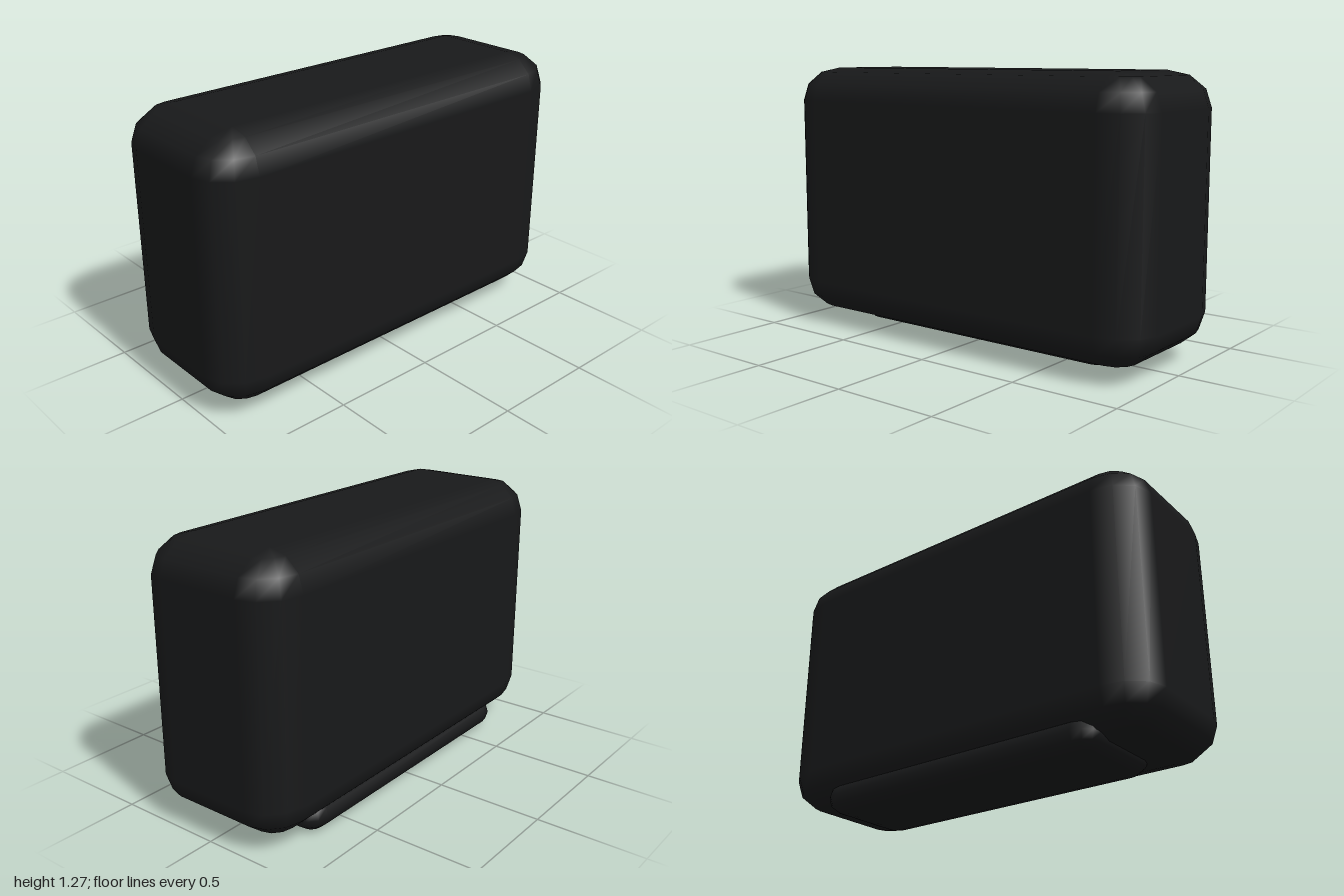
import * as THREE from 'three';

const STEPS = 3; // segments in each quarter-round

// Box with elliptical quarter-rounds: half sizes h and radii r along x, y, z
function softBox(h, r) {
  const pos = [], nor = [], idx = [];
  const cols = 4 * (STEPS + 1), rows = 2 * (STEPS + 1);
  const push = (p, n) => {
    pos.push(...p);
    nor.push(...new THREE.Vector3(n[0] / r[0], n[1] / r[1], n[2] / r[2]).normalize().toArray());
  };
  const quarter = Math.PI / 2;
  for (let i = 0; i < rows; i++) {
    const top = i > STEPS;
    const lat = quarter * ((i % (STEPS + 1)) / STEPS - (top ? 0 : 1));
    for (let j = 0; j < cols; j++) {
      const q = Math.floor(j / (STEPS + 1));
      const lon = quarter * (q + (j % (STEPS + 1)) / STEPS);
      const n = [Math.cos(lat) * Math.cos(lon), Math.sin(lat), -Math.cos(lat) * Math.sin(lon)];
      const side = [q === 0 || q === 3 ? 1 : -1, top ? 1 : -1, q < 2 ? -1 : 1];
      push(n.map((v, k) => side[k] * (h[k] - r[k]) + v * r[k]), n);
    }
  }
  // Walls and rounded edges
  for (let i = 0; i < rows - 1; i++) {
    for (let j = 0; j < cols; j++) {
      const k = (j + 1) % cols;
      const a = i * cols + j, b = i * cols + k, c = b + cols, d = a + cols;
      idx.push(a, b, c, a, c, d);
    }
  }
  // Flat bottom and top
  const bottom = pos.length / 3;
  push([0, -h[1], 0], [0, -1, 0]);
  push([0, h[1], 0], [0, 1, 0]);
  for (let j = 0; j < cols; j++) {
    const k = (j + 1) % cols, last = (rows - 1) * cols;
    idx.push(bottom, k, j, bottom + 1, last + j, last + k);
  }
  const g = new THREE.BufferGeometry();
  g.setAttribute('position', new THREE.Float32BufferAttribute(pos, 3));
  g.setAttribute('normal', new THREE.Float32BufferAttribute(nor, 3));
  g.setIndex(idx);
  return g;
}

export function createModel() {
  const model = new THREE.Group();
  const black = new THREE.MeshStandardMaterial({ color: 0x18191a });
  const add = (name, h, r, y, z) => {
    const mesh = new THREE.Mesh(softBox(h, r), black);
    mesh.name = name;
    mesh.position.set(0, y, z);
    model.add(mesh);
  };

  // Main rounded body
  add('body', [1, 0.608, 0.37], [0.2, 0.16, 0.17], 0.663, 0);
  // Thin pad under the body, set towards the back
  add('basePad', [0.74, 0.075, 0.255], [0.1, 0.075, 0.085], 0.075, -0.09);

  return model;
}
